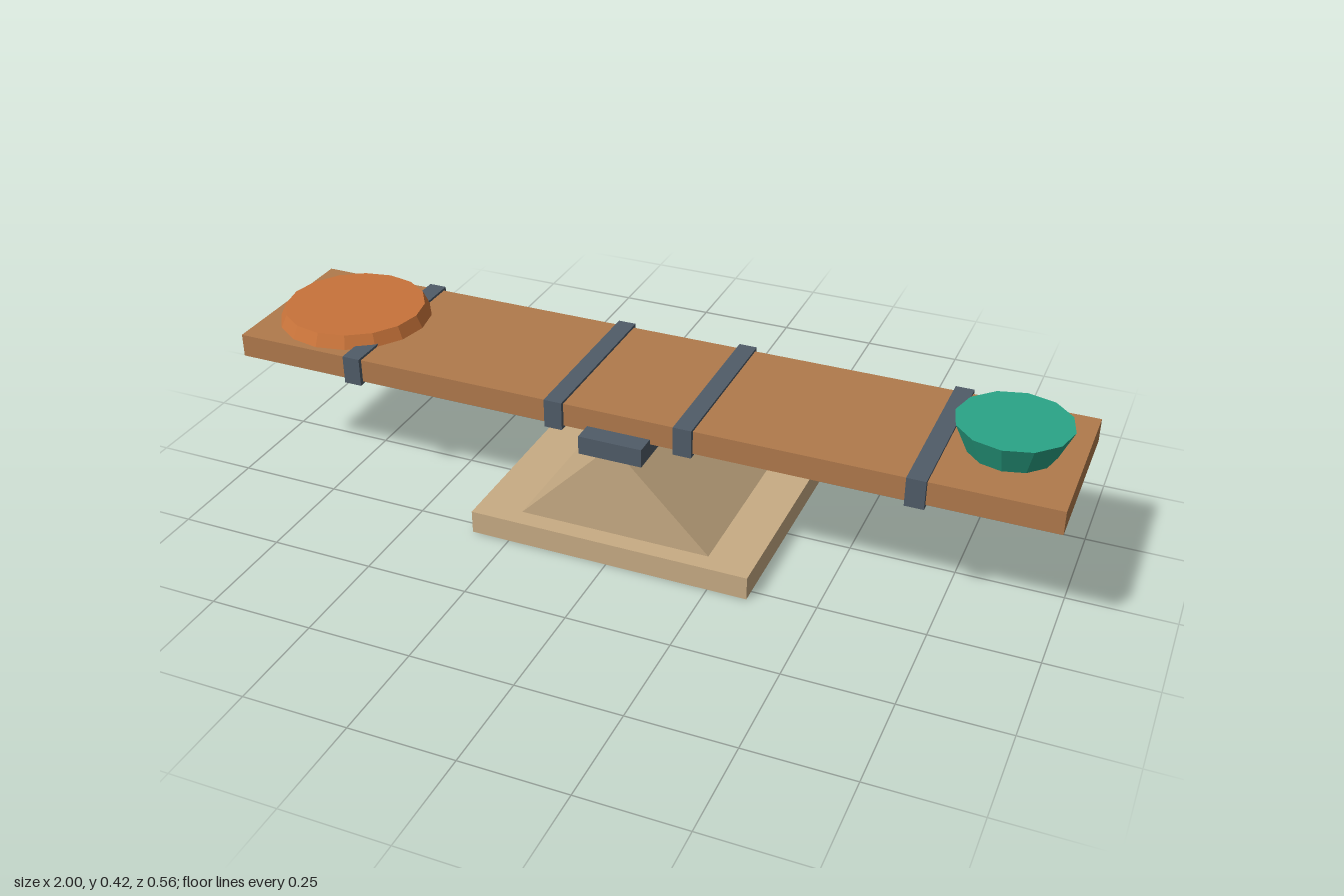
import * as THREE from 'three';

const mat = (name, color) => {
  const m = new THREE.MeshStandardMaterial({ color, flatShading: true });
  m.name = name;
  return m;
};

export function createModel() {
  const group = new THREE.Group();
  group.name = 'balanceBoard';
  const sand = mat('sand', 0xc8ac84);
  const wood = mat('wood', 0xb07a4c);
  const iron = mat('iron', 0x505c68);
  const orange = mat('orange', 0xc8733a);
  const green = mat('green', 0x2aa587);

  const add = (name, geometry, material, x = 0, y = 0, z = 0) => {
    const mesh = new THREE.Mesh(geometry, material);
    mesh.name = name;
    mesh.position.set(x, y, z);
    group.add(mesh);
    return mesh;
  };
  // Box given by its bottom and top heights
  const box = (name, material, x, w, y0, y1, d) =>
    add(name, new THREE.BoxGeometry(w, y1 - y0, d), material, x, (y0 + y1) / 2);
  // Tapered round pad standing on the plank
  const pad = (name, material, x, rTop, rBottom, y0, y1, sides) =>
    add(name, new THREE.CylinderGeometry(rTop, rBottom, y1 - y0, sides), material, x, (y0 + y1) / 2);

  // Base slab and triangular fulcrum
  box('baseSlab', sand, 0, 0.69, 0, 0.057, 0.564);
  const triangle = new THREE.Shape([
    new THREE.Vector2(-0.235, 0.057),
    new THREE.Vector2(0.235, 0.057),
    new THREE.Vector2(0, 0.295),
  ]);
  const prism = new THREE.ExtrudeGeometry(triangle, { depth: 0.472, bevelEnabled: false });
  add('fulcrum', prism, sand, 0, 0, -0.236);

  // Pivot bar and plank
  box('pivotBar', iron, 0, 0.154, 0.265, 0.31, 0.502);
  box('plank', wood, 0, 2, 0.298, 0.355, 0.404);

  // Iron straps around the plank
  for (const x of [-0.687, -0.158, 0.158, 0.687]) {
    box('strap', iron, x, 0.044, 0.291, 0.361, 0.424);
  }

  // Landing pad at one end, tapered cup at the other
  pad('landingPad', orange, -0.8, 0.172, 0.187, 0.355, 0.386, 16);
  pad('cup', green, 0.842, 0.131, 0.1, 0.355, 0.424, 12);

  return group;
}
